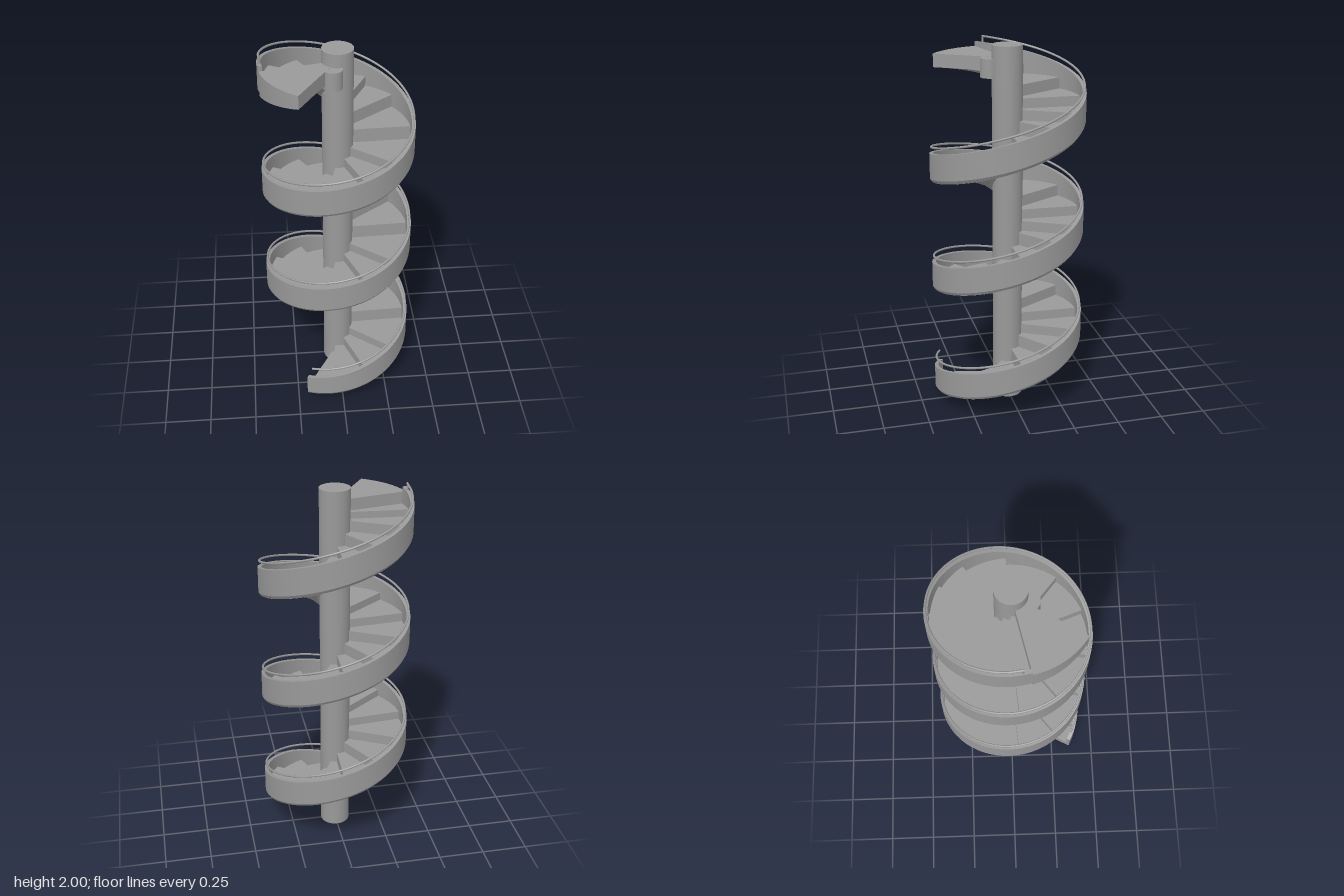
import * as THREE from 'three';

const START = 120;          // compass angle of the first step, degrees
const OUTER = 0.403, INNER = 0.383, CORE = 0.06;
const TREAD = 0.09;         // tread height above the soffit at each riser
const END = 1032;           // turn at which the landing begins

// Underside height of the stair after turning t degrees: a helix leaning slightly forward
const soffit = t => 0.02 + 0.00171 * t + 0.024 * Math.cos((t - 255) * Math.PI / 180);

// Parapet height, a little lower at the entrance
const wall = t => Math.min(0.16, 0.13 + 0.0005 * t);

// Point at radius r after turning t degrees (the plan is very slightly oval)
function point(t, r, y) {
  const a = (START - t) * Math.PI / 180;
  return new THREE.Vector3(r * Math.cos(a) * 0.995, y, r * Math.sin(a) * 1.028);
}

// Solid section with a fillet where the underside meets the column
const slab = (t, r, top) => {
  const b = soffit(t);
  const low = d => Math.max(0.003, b - d);
  return [[CORE, top], [CORE, low(0.05)], [0.095, low(0.025)], [0.14, low(0.006)],
    [0.2, b], [r, b], [r, top]];
};

// Sweeps a counter-clockwise (radius, height) section from turn t0 to t1,
// smooth along the sweep and sharp across it, with closed ends
function sweep(t0, t1, section) {
  const n = Math.max(2, Math.ceil((t1 - t0) / 4));
  const pos = [], idx = [];
  const rows = [];
  for (let i = 0; i <= n; i++) {
    const t = t0 + (t1 - t0) * i / n;
    rows.push(section(t).map(([r, y]) => point(t, r, y)));
  }
  const m = rows[0].length;
  for (let j = 0; j < m; j++) {
    const base = pos.length / 3;
    rows.forEach(row => pos.push(...row[j].toArray(), ...row[(j + 1) % m].toArray()));
    for (let i = 0; i < n; i++) {
      const p = base + i * 2;
      idx.push(p, p + 2, p + 1, p + 1, p + 2, p + 3);
    }
  }
  [rows[0], rows[n]].forEach((row, end) => {
    const base = pos.length / 3;
    row.forEach(v => pos.push(...v.toArray()));
    for (let j = 1; j < m - 1; j++) {
      if (end) idx.push(base, base + j + 1, base + j);
      else idx.push(base, base + j, base + j + 1);
    }
  });
  const g = new THREE.BufferGeometry();
  g.setAttribute('position', new THREE.Float32BufferAttribute(pos, 3));
  g.setIndex(idx);
  g.computeVertexNormals();
  return g;
}

export function createModel() {
  const model = new THREE.Group();
  model.name = 'spiralStaircase';
  const grey = new THREE.MeshStandardMaterial({ color: 0x999999 });
  grey.name = 'stoneGrey';
  const add = (name, geometry, parent = model) => {
    const mesh = new THREE.Mesh(geometry, grey);
    mesh.name = name;
    parent.add(mesh);
    return mesh;
  };

  // Central column
  add('column', new THREE.CylinderGeometry(0.081, 0.081, 2, 48)).position.y = 1;

  // Parapet wall with a softened lower edge
  add('parapet', sweep(0, END, t => {
    const b = soffit(t), top = b + wall(t);
    return [[INNER, b], [OUTER - 0.009, b + 0.005], [OUTER, b + 0.02], [OUTER, top], [INNER, top]];
  }));

  // Steps: flat treads over a continuous sloping soffit
  const steps = new THREE.Group();
  steps.name = 'steps';
  model.add(steps);
  const risers = [0, 16];
  for (let turn = 0; turn < 3; turn++) {
    for (const a of [51, 82, 122, 156, 182, 208, 240, 273, 305, 337, 376]) {
      if (turn * 360 + a < 1010) risers.push(turn * 360 + a);
    }
  }
  risers.push(1017, END);
  for (let k = 0; k < risers.length - 1; k++) {
    const top = k < 2 ? 0.065 + 0.055 * k : soffit(risers[k]) + TREAD;
    add('step', sweep(risers[k], risers[k + 1], t => slab(t, INNER + 0.002, top)), steps);
  }

  // Landing at the top, with a rounded lobe beside the column
  add('landing', sweep(END, 1078, t => slab(t, OUTER, 1.93)));
  const lobe = add('landingLobe', new THREE.CylinderGeometry(0.05, 0.05, 0.1, 24));
  lobe.position.set(-0.03, 1.879, 0.087);

  // Handrail floating just above the parapet, pinned at its upper end
  const railR = OUTER - 0.01;
  const railY = t => soffit(t) + 0.193;
  const path = [];
  for (let t = 4; t <= 1027; t += 11) path.push(point(t, railR, railY(t)));
  add('handrail', new THREE.TubeGeometry(new THREE.CatmullRomCurve3(path), 420, 0.006, 8));
  const pin = add('railPin', new THREE.CylinderGeometry(0.005, 0.005, 0.05, 8));
  pin.position.copy(point(1026, railR, railY(1026) - 0.022));
  return model;
}
